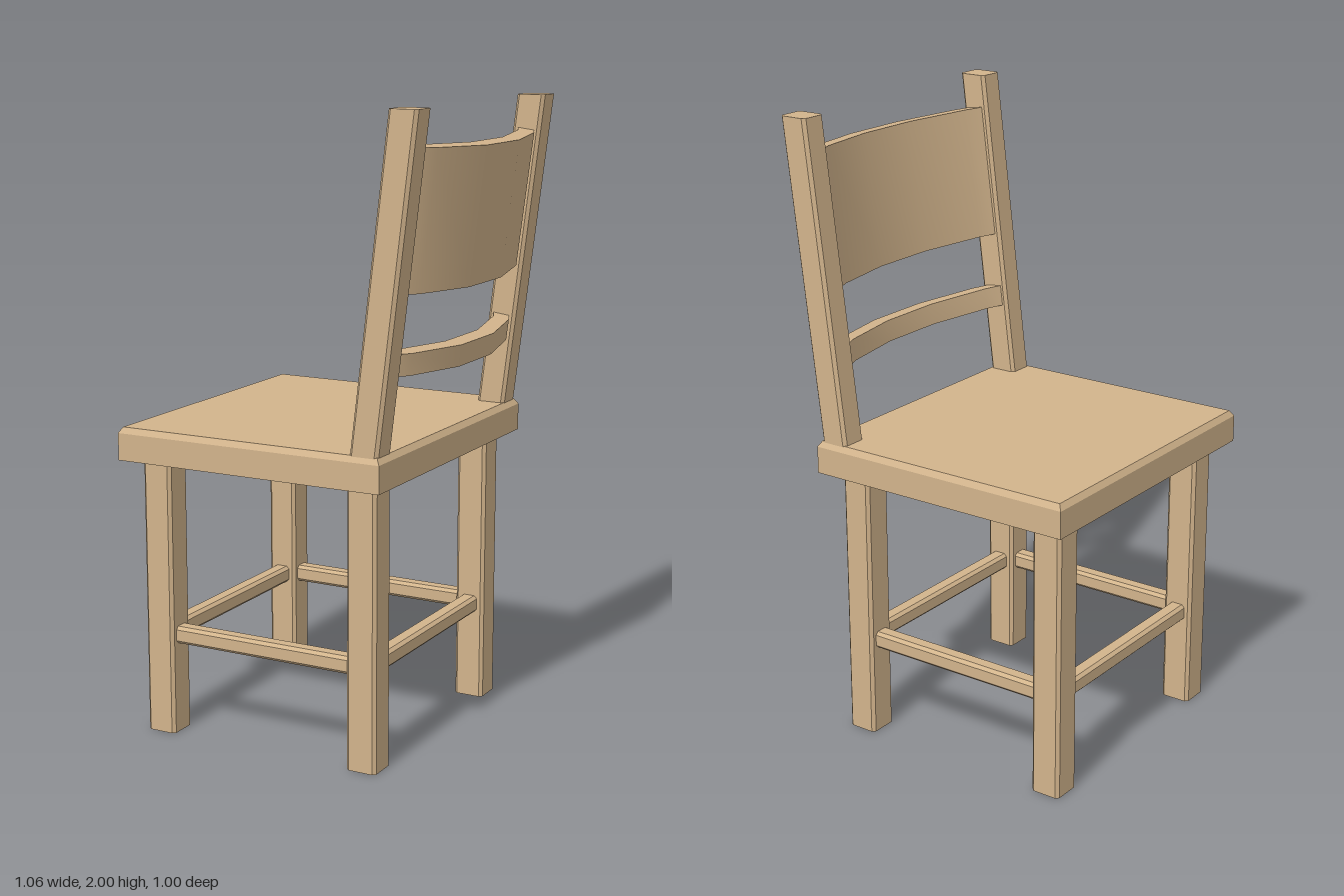
import * as THREE from 'three';
import { toCreasedNormals } from 'three/addons/utils/BufferGeometryUtils.js';

// Square bar with chamfered long edges, running up +y from 0 to length
function chamferedBar(w, d, length, c) {
  const x = w / 2, y = d / 2;
  const shape = new THREE.Shape([
    [x - c, -y], [x, -y + c], [x, y - c], [x - c, y],
    [-x + c, y], [-x, y - c], [-x, -y + c], [-x + c, -y],
  ].map(([a, b]) => new THREE.Vector2(a, b)));
  return new THREE.ExtrudeGeometry(shape, { depth: length, bevelEnabled: false }).rotateX(-Math.PI / 2);
}

// Curved slat: bowed plan outline extruded upwards from v0 to v1
function slat(v0, v1) {
  const outer = [[0.061, -0.42], [0.071, -0.4], [0.096, -0.345], [0.146, -0.115],
    [0.146, 0.115], [0.096, 0.345], [0.071, 0.4], [0.061, 0.42]];
  const inner = outer.map(([u, z]) => [u - 0.055, z]).reverse();
  const shape = new THREE.Shape([...outer, ...inner].map(([u, z]) => new THREE.Vector2(u, z)));
  const geo = new THREE.ExtrudeGeometry(shape, { depth: v1 - v0, bevelEnabled: false })
    .rotateX(-Math.PI / 2).translate(0, v0, 0);
  return toCreasedNormals(geo, 0.5);
}

export function createModel() {
  const chair = new THREE.Group();
  chair.name = 'chair';
  const wood = new THREE.MeshStandardMaterial({ color: 0xd2b48c });
  wood.name = 'tan wood';
  const add = (name, geo, parent = chair) => {
    const mesh = new THREE.Mesh(geo, wood);
    mesh.name = name;
    parent.add(mesh);
    return mesh;
  };

  // Seat board with chamfered top rim
  const seat = new THREE.BoxGeometry(0.91, 0.105, 1, 1, 2, 1).toNonIndexed();
  const p = seat.attributes.position;
  for (let i = 0; i < p.count; i++) {
    if (Math.abs(p.getY(i)) < 0.01) p.setY(i, 0.034);
    else if (p.getY(i) > 0) {
      p.setX(i, p.getX(i) - Math.sign(p.getX(i)) * 0.012);
      p.setZ(i, p.getZ(i) - Math.sign(p.getZ(i)) * 0.012);
    }
  }
  seat.computeVertexNormals();
  add('seat', seat).position.set(-0.08, 0.9475, 0);

  // Legs
  const legX = [-0.44, 0.281], legZ = 0.385;
  for (const x of legX) for (const s of [-1, 1]) {
    add(x < 0 ? 'frontLeg' : 'backLeg', chamferedBar(0.1, 0.1, 0.9, 0.01)).position.set(x, 0, s * legZ);
  }

  // Stretchers between the legs
  const y = 0.323, t = 0.056, c = 0.01;
  for (const s of [-1, 1]) {
    const bar = chamferedBar(t, t, 0.66, c).rotateZ(-Math.PI / 2);
    add('sideStretcher', bar).position.set(-0.41, y, s * legZ);
  }
  for (const x of legX) {
    const bar = chamferedBar(t, t, 0.7, c).rotateX(Math.PI / 2);
    add('crossStretcher', bar).position.set(x, y, -0.35);
  }

  // Back posts, sheared so they lean back with level tops
  const lean = 0.122;
  const shear = new THREE.Matrix4().set(1, lean, 0, 0, 0, 1, 0, 0, 0, 0, 1, 0, 0, 0, 0, 1);
  for (const s of [-1, 1]) {
    const post = chamferedBar(0.094, 0.09, 1.05, 0.01).translate(0, -0.05, 0).applyMatrix4(shear);
    add('backPost', post).position.set(0.317, 1, s * 0.445);
  }

  // Bowed back panel and lower rail, tilted with the posts
  const back = new THREE.Group();
  back.name = 'backSlats';
  back.position.set(0.27, 1, 0);
  back.rotation.z = -Math.atan(0.126);
  add('backPanel', slat(0.48, 0.905), back);
  add('backRail', slat(0.235, 0.303), back);
  chair.add(back);

  return chair;
}
